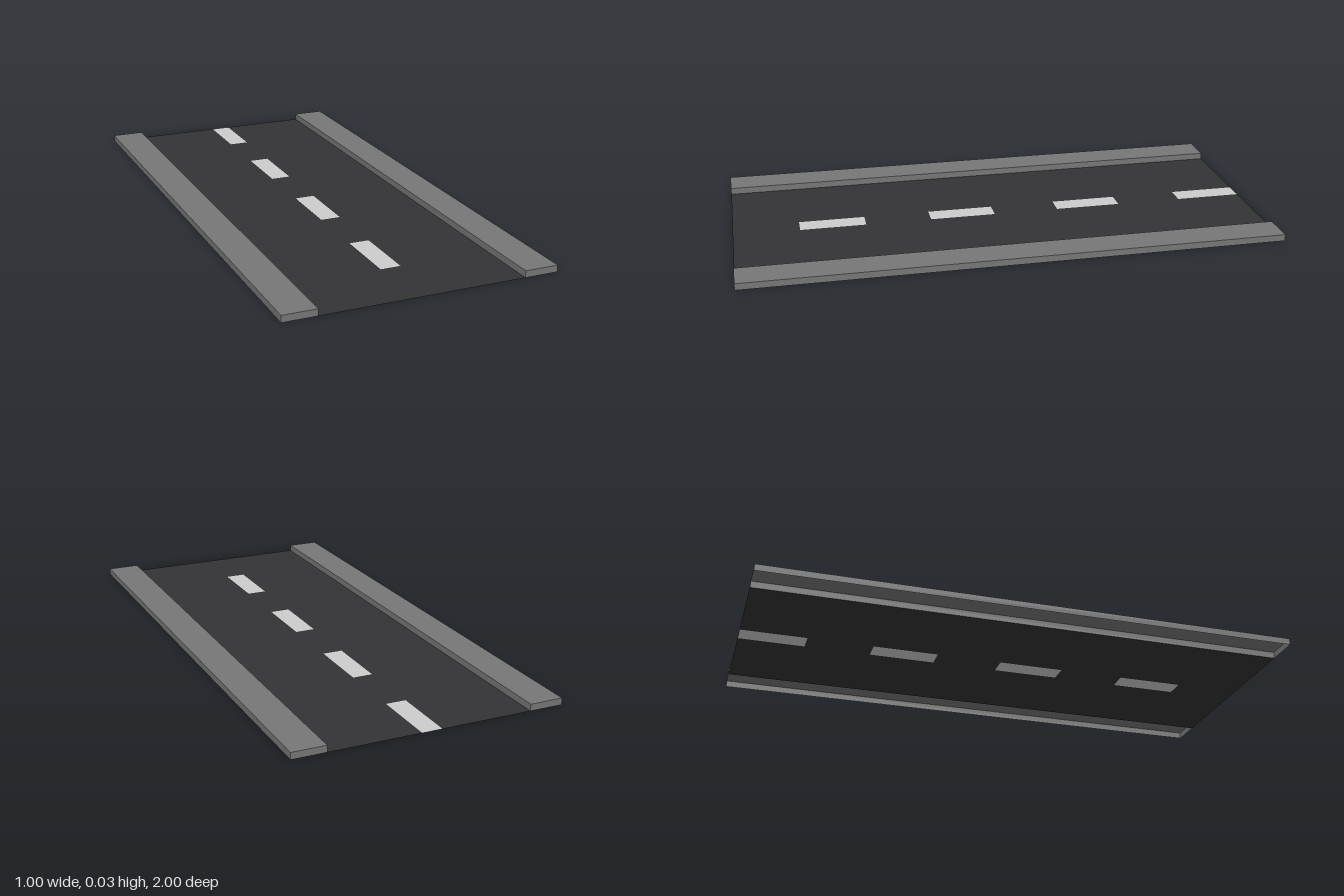
import * as THREE from 'three';

const LENGTH = 2, HALF_ROAD = 0.375, HALF_DASH = 0.0375;
const KERB_WIDTH = 0.125, KERB_HEIGHT = 0.025, CELL = 0.25;

const paint = (color) => new THREE.MeshStandardMaterial({ color, side: THREE.DoubleSide });

// Flat rectangle lying on the ground
function slab(name, width, depth, x, z, material) {
  const geometry = new THREE.PlaneGeometry(width, depth).rotateX(-Math.PI / 2);
  const mesh = new THREE.Mesh(geometry, material);
  mesh.name = name;
  mesh.position.set(x, 0, z);
  return mesh;
}

// Hollow kerb: a box without its bottom face
function kerb(name, x, material) {
  const geometry = new THREE.BoxGeometry(KERB_WIDTH, KERB_HEIGHT, LENGTH);
  const index = Array.from(geometry.index.array);
  index.splice(18, 6);
  geometry.setIndex(index);
  geometry.clearGroups();
  const mesh = new THREE.Mesh(geometry, material);
  mesh.name = name;
  mesh.position.set(x, KERB_HEIGHT / 2, 0);
  return mesh;
}

export function createModel() {
  const road = new THREE.Group();
  road.name = 'roadSection';
  const asphalt = paint(0x333335), line = paint(0xcccccc), concrete = paint(0x767676);

  // Lanes and kerbs on both sides
  const laneWidth = HALF_ROAD - HALF_DASH;
  for (const [side, s] of [['left', 1], ['right', -1]]) {
    road.add(slab(side + 'Lane', laneWidth, LENGTH, s * (HALF_DASH + laneWidth / 2), 0, asphalt));
    road.add(kerb(side + 'Kerb', s * (HALF_ROAD + KERB_WIDTH / 2), concrete));
  }

  // Centre strip: painted dashes alternating with asphalt, flush with the lanes
  for (let i = 0; i < LENGTH / CELL; i++) {
    const dash = i % 2 === 0;
    const z = -LENGTH / 2 + (i + 0.5) * CELL;
    road.add(slab(dash ? 'centreDash' : 'centreGap', HALF_DASH * 2, CELL, 0, z, dash ? line : asphalt));
  }
  return road;
}
